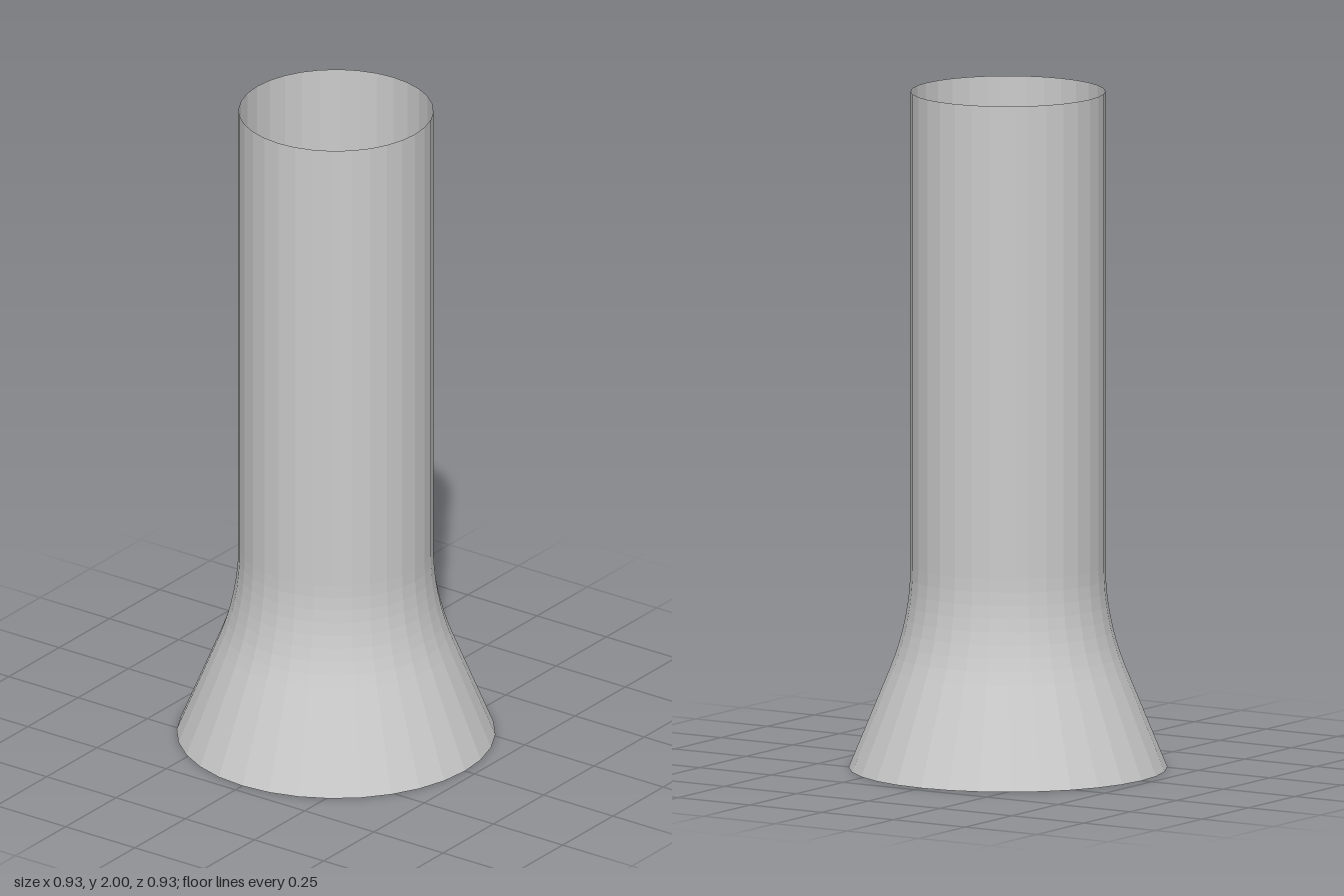
import * as THREE from 'three';

export function createModel() {
  const group = new THREE.Group();
  group.name = 'flaredPipe';

  const tubeRadius = 0.285, baseRadius = 0.466, height = 2;
  const bendTop = 0.6, bendRadius = 0.81, flareAngle = 0.383, bendSteps = 8;

  // Profile from the base upward: straight flare, concave bend, straight tube
  const profile = [new THREE.Vector2(baseRadius, 0)];
  for (let i = bendSteps; i >= 0; i--) {
    const a = (flareAngle * i) / bendSteps;
    profile.push(new THREE.Vector2(
      tubeRadius + bendRadius * (1 - Math.cos(a)),
      bendTop - bendRadius * Math.sin(a)
    ));
  }
  profile.push(new THREE.Vector2(tubeRadius, height));

  // Thin open-ended shell
  const material = new THREE.MeshStandardMaterial({
    color: 0xcccccc, flatShading: true, side: THREE.DoubleSide
  });
  const shell = new THREE.Mesh(new THREE.LatheGeometry(profile, 32), material);
  shell.name = 'pipeShell';
  group.add(shell);

  return group;
}
